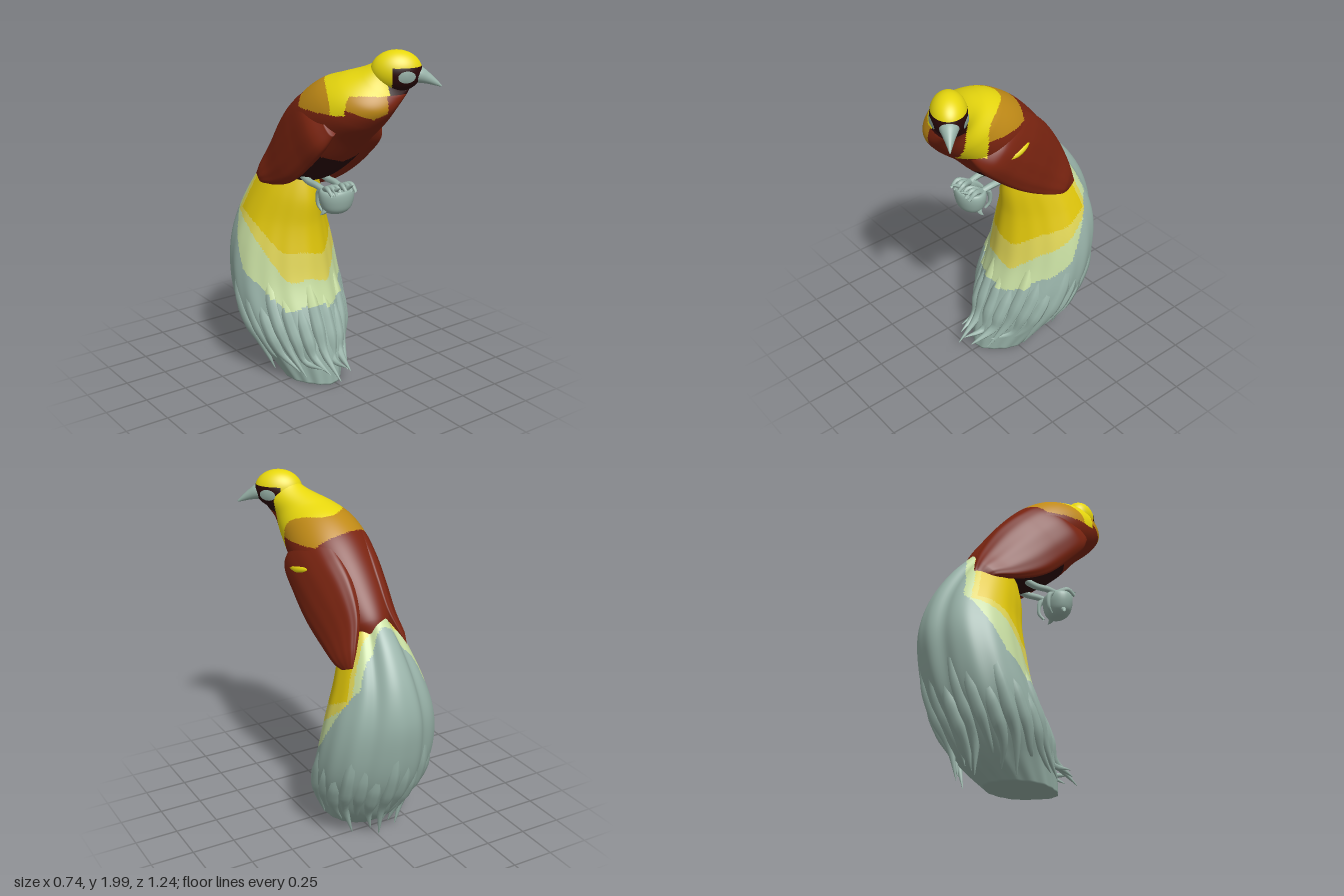
import * as THREE from 'three';

const mat = (name, color) => Object.assign(new THREE.MeshStandardMaterial({ color, side: THREE.DoubleSide }), { name });
const V = (x, y, z) => new THREE.Vector3(x, y, z);
const named = (name, o) => Object.assign(o, { name });

// Skin through stations [frontX, frontY, frontZ, backX, backY, backZ, halfWidth]
function makeRing(stations, wave = () => 1) {
  const front = new THREE.CatmullRomCurve3(stations.map(s => V(s[0], s[1], s[2])));
  const back = new THREE.CatmullRomCurve3(stations.map(s => V(s[3], s[4], s[5])));
  const width = new THREE.CatmullRomCurve3(stations.map((s, i) => V(s[6], i, 0)));
  return (t, a) => {
    const f = front.getPoint(t), b = back.getPoint(t), w = wave(t, a);
    const mid = f.clone().add(b).multiplyScalar(0.5);
    const p = mid.clone().addScaledVector(f.sub(mid), Math.sin(a) * w);
    p.x += Math.cos(a) * width.getPoint(t).x * w;
    return p;
  };
}
const ringCentre = (ring, t) => ring(t, 0).add(ring(t, Math.PI)).multiplyScalar(0.5);

function loft(ring, rows, cols) {
  const pos = [], idx = [];
  for (let i = 0; i <= rows; i++)
    for (let j = 0; j < cols; j++) pos.push(...ring(i / rows, j / cols * Math.PI * 2).toArray());
  for (let i = 0; i < rows; i++)
    for (let j = 0; j < cols; j++) {
      const a = i * cols + j, b = i * cols + (j + 1) % cols;
      idx.push(a, b, a + cols, b, b + cols, a + cols);
    }
  // end caps
  for (const end of [0, 1]) {
    const c = pos.length / 3, o = end * rows * cols;
    pos.push(...ringCentre(ring, end).toArray());
    for (let j = 0; j < cols; j++) {
      const k = (j + 1) % cols;
      idx.push(c, o + (end ? j : k), o + (end ? k : j));
    }
  }
  const g = new THREE.BufferGeometry();
  g.setAttribute('position', new THREE.Float32BufferAttribute(pos, 3));
  g.setIndex(idx);
  g.computeVertexNormals();
  return g;
}

// Sort faces into one material group per colour, chosen from the face centre
function paint(name, g, palette, pick) {
  const src = g.index.array, p = g.attributes.position, bins = palette.map(() => []);
  for (let i = 0; i < src.length; i += 3) {
    const c = V(0, 0, 0);
    for (let k = 0; k < 3; k++) c.add(V().fromBufferAttribute(p, src[i + k]));
    c.multiplyScalar(1 / 3);
    bins[palette.indexOf(pick(c))].push(src[i], src[i + 1], src[i + 2]);
  }
  g.setIndex(bins.flat());
  let start = 0;
  bins.forEach((b, m) => { g.addGroup(start, b.length, m); start += b.length; });
  return named(name, new THREE.Mesh(g, palette));
}

// Tube whose radius changes along its length
function strand(points, radius, segs = 24, sides = 8) {
  const curve = new THREE.CatmullRomCurve3(points);
  const g = new THREE.TubeGeometry(curve, segs, 1, sides), p = g.attributes.position;
  for (let i = 0; i <= segs; i++) {
    const c = curve.getPointAt(i / segs);
    for (let j = 0; j <= sides; j++) {
      const k = i * (sides + 1) + j, v = V().fromBufferAttribute(p, k);
      v.sub(c).multiplyScalar(radius(i / segs)).add(c);
      p.setXYZ(k, v.x, v.y, v.z);
    }
  }
  g.computeVertexNormals();
  return g;
}

export function createModel() {
  const bird = named('bird', new THREE.Group());
  const brown = mat('chestnut', 0x7a2410), dark = mat('darkBrown', 0x2a0808), yellow = mat('yellow', 0xe8d80e),
    ochre = mat('ochre', 0xc08a16), gold = mat('gold', 0xe0c60a), lemon = mat('lemon', 0xdfd455),
    pale = mat('paleGreen', 0xc6dca0), grey = mat('greyGreen', 0x98b2a8);
  const add = (name, g, m) => { const o = named(name, new THREE.Mesh(g, m)); bird.add(o); return o; };

  // Mantle, shoulder and chest colours shared by body and wings
  const coat = p => {
    const dx = p.x - 0.05;
    if (p.y > 1.775 && p.z > 0.42 && p.x > 0.09) return dark;
    if (p.z > 0.42 && p.y < 1.775) return p.x < 0.07 && p.y > 1.655 + 0.4 * Math.abs(p.x) ? ochre : brown;
    if (p.z > 0.29 && p.y > 1.565 && p.x > 0) return yellow;
    if (p.y > 1.67) {
      if (p.z > 0.09 + 6 * dx * dx) return yellow;
      if (p.z > -0.02 + 2 * dx * dx) return ochre;
    }
    return brown;
  };

  // Body from nape to rump
  const body = makeRing([
    [0.18, 1.79, 0.54, 0.15, 1.975, 0.44, 0.085],
    [0.14, 1.76, 0.55, 0.11, 1.915, 0.36, 0.12],
    [0.07, 1.69, 0.545, 0.05, 1.865, 0.23, 0.16],
    [0.04, 1.60, 0.48, 0.03, 1.82, 0.10, 0.20],
    [0.03, 1.50, 0.37, 0.02, 1.74, -0.02, 0.22],
    [0.02, 1.36, 0.24, 0.01, 1.63, -0.13, 0.215],
    [0.01, 1.24, 0.08, 0, 1.49, -0.24, 0.19],
    [0, 1.18, -0.08, 0, 1.35, -0.335, 0.14],
    [0, 1.17, -0.2, 0, 1.28, -0.355, 0.08]]);
  bird.add(paint('body', loft(body, 130, 110), [brown, dark, yellow, ochre],
    p => p.y < 1.37 + 0.3 * Math.abs(p.x) && p.y < 1.36 + 1.07 * p.z ? dark : coat(p)));

  // Folded wings; the left one bulges more and hangs a little lower
  for (const s of [1, -1]) {
    const drop = s > 0 ? 0 : 0.07, bulge = s > 0 ? 0.03 : 0;
    const x = v => 0.007 + s * v;
    const wing = makeRing([
      [x(0.15), 1.56, 0.36, x(0.10), 1.72, 0.20, 0.04],
      [x(0.18), 1.47, 0.31, x(0.10), 1.74, 0.06, 0.075 + bulge],
      [x(0.19), 1.35, 0.19, x(0.10), 1.65, -0.08, 0.075 + bulge],
      [x(0.20), 1.24, 0.05, x(0.09), 1.53, -0.20, 0.07 + bulge / 2],
      [x(0.20), 1.15 + drop / 2, -0.10, x(0.10), 1.37, -0.30, 0.055],
      [x(0.20), 1.09 + drop, -0.24, x(0.14), 1.22 + drop / 2, -0.35, 0.033],
      [x(0.19), 1.075 + drop, -0.29, x(0.17), 1.11 + drop, -0.37, 0.008]],
      (t, a) => 1 + 0.018 * t * Math.sin(12 * a));
    bird.add(paint(s > 0 ? 'leftWing' : 'rightWing', loft(wing, 90, 90), [brown, dark, yellow, ochre], coat));
  }
  add('wingStripe', strand([V(0.218, 1.54, 0.25), V(0.243, 1.53, 0.2), V(0.25, 1.535, 0.12), V(0.237, 1.55, 0.05), V(0.21, 1.56, 0)],
    t => 0.021 * Math.sin(Math.PI * (0.15 + 0.7 * t))), yellow);

  // Long curved tail, colour bands fading to grey
  const bands = p => {
    const behind = p.z + 0.34 + (1.33 - p.y) * 0.28;
    const d = Math.max(0, -p.z), side = 0.8 * Math.max(0, -p.x - 0.18);
    const y = p.y + 0.015 * Math.sin(p.x * 25);
    if (behind < -0.02 || y < 0.46 + 0.75 * d + Math.max(0, d - 0.25)) return grey;
    if (behind < 0.02 || y < 0.6 + 0.75 * d + side) return pale;
    if (behind < 0.05 || y < 0.755 + 0.45 * d + side) return lemon;
    return gold;
  };
  const c = -0.02;
  const tail = makeRing([
    [c, 1.24, -0.05, c, 1.35, -0.325, 0.12],
    [c, 1.08, -0.02, c, 1.20, -0.46, 0.185],
    [c, 0.92, -0.02, c, 1.01, -0.57, 0.25],
    [c, 0.75, 0, c, 0.83, -0.615, 0.305],
    [c, 0.58, 0.03, c, 0.64, -0.60, 0.335],
    [c, 0.42, 0.09, c, 0.45, -0.55, 0.335],
    [c, 0.27, 0.15, c, 0.28, -0.46, 0.295],
    [c, 0.13, 0.19, c, 0.14, -0.37, 0.225],
    [c, 0.01, 0.20, c, 0.02, -0.22, 0.165]],
    (t, a) => {
      const sn = Math.sin(a), groove = Math.exp(-(((Math.abs(a - Math.PI * 1.5) - 0.58) / 0.2) ** 2));
      const flat = sn > 0 ? 0.08 * Math.sin(2 * a) ** 2 : 0;
      return 1 - 0.13 * groove * (1 - 0.8 * t) - flat + 0.014 * t * Math.sin(16 * a);
    });
  bird.add(paint('tail', loft(tail, 110, 144), [gold, lemon, pale, grey], bands));

  // Long plumes half sunk in the tail, with loose tips
  const plumes = named('tailPlumes', new THREE.Group());
  const count = 24;
  for (let i = 0; i < count; i++) {
    const a = (i + 0.5) / count * Math.PI * 2, out = Math.sin(a);
    const start = 0.36 + 0.07 * (i * 2 % 3), end = 0.8 + 0.03 * (i % 3);
    const pts = [0, 0.25, 0.5, 0.75, 1].map(k => {
      const t = start + (end - start) * k;
      return tail(t, a).lerp(ringCentre(tail, t), 0.13 - 0.09 * k);
    });
    const last = pts[4];
    pts.push(V(c + (last.x - c) * 0.72, 0.03 + 0.035 * (i % 3) + 0.05 * Math.max(0, out),
      last.z + (out > 0 ? 0.06 + 0.1 * out : 0.04) - 0.02 * (i % 2)));
    plumes.add(paint('plume', strand(pts, t => 0.042 * Math.min(1, 0.2 + 2 * t) * Math.min(1, (1.02 - t) * 2.4)),
      [gold, lemon, pale, grey], bands));
  }
  bird.add(plumes);

  // Head turned toward the left
  const head = named('head', new THREE.Group());
  head.position.set(0.18, 1.89, 0.495);
  head.rotation.y = 0.95;
  const skull = new THREE.SphereGeometry(1, 96, 72).scale(0.096, 0.11, 0.135).translate(0, 0, -0.015);
  head.add(paint('skull', skull, [yellow, dark], p => p.y < 0.03 && p.z > -0.04 ? dark : yellow));
  // Beak, hooked slightly downward
  const beak = makeRing([
    [0, -0.06, 0.055, 0, 0.028, 0.07, 0.06],
    [0, -0.063, 0.10, 0, 0.022, 0.115, 0.047],
    [0, -0.068, 0.145, 0, -0.008, 0.155, 0.03],
    [0, -0.078, 0.19, 0, -0.045, 0.195, 0.014],
    [0, -0.085, 0.22, 0, -0.078, 0.225, 0.003]]);
  head.add(named('beak', new THREE.Mesh(loft(beak, 24, 28), grey)));
  // Cheek patches, thin plates following the skull
  for (const s of [1, -1]) {
    const plate = new THREE.CircleGeometry(1, 40, 0, Math.PI * 2), p = plate.attributes.position;
    for (let i = 0; i < p.count; i++) {
      const y = -0.018 + 0.032 * p.getY(i), z = 0.035 + 0.046 * p.getX(i) * s;
      p.setXYZ(i, -s * 0.101 * Math.sqrt(Math.max(0, 1 - (y / 0.115) ** 2 - ((z + 0.015) / 0.142) ** 2)), y, z);
    }
    // keep the middle of the plate as curved as its rim
    p.setX(0, -s * 0.098);
    plate.computeVertexNormals();
    head.add(named('cheekPatch', new THREE.Mesh(plate, grey)));
  }
  bird.add(head);

  // Legs, toes and the clenched foot cup
  for (const s of [1, -1]) {
    add('leg', strand([V(c + s * 0.06, 1.25, -0.04), V(c + s * 0.06, 1.22, 0.05), V(c + s * 0.06, 1.215, 0.13),
      V(c + s * 0.055, 1.2, 0.2)], t => 0.022 - 0.005 * t), grey);
    add('rearToe', strand([V(c + s * 0.055, 1.21, 0.17), V(c + s * 0.06, 1.18, 0.14), V(c + s * 0.06, 1.11, 0.135),
      V(c + s * 0.05, 1.075, 0.16)], t => 0.017 * (1.1 - 0.7 * t)), grey);
    for (const w of [0.02, 0.05, 0.08])
      add('frontToe', strand([V(c + s * 0.055, 1.205, 0.19), V(c + s * w, 1.232, 0.25), V(c + s * w, 1.2, 0.295)],
        t => 0.017 * (1.15 - 0.6 * t)), grey);
    add('frontClaw', strand([V(c + s * 0.045, 1.22, 0.27), V(c + s * 0.045, 1.235, 0.295), V(c + s * 0.04, 1.25, 0.325)],
      t => 0.014 * (1.05 - t)), grey);
    add('lowerClaw', strand([V(c + s * 0.06, 1.115, 0.22), V(c + s * 0.085, 1.09, 0.22), V(c + s * 0.1, 1.075, 0.21)],
      t => 0.026 * (1.05 - t)), grey);
  }
  const profile = [[0, -0.075], [0.05, -0.07], [0.085, -0.045], [0.102, 0], [0.105, 0.04], [0.095, 0.062], [0.075, 0.055], [0.05, 0.01], [0, -0.01]];
  const cup = add('footCup', new THREE.LatheGeometry(
    new THREE.SplineCurve(profile.map(p => new THREE.Vector2(...p))).getPoints(40), 40), grey);
  cup.scale.z = 0.78;
  cup.position.set(c, 1.15, 0.225);
  return bird;
}
